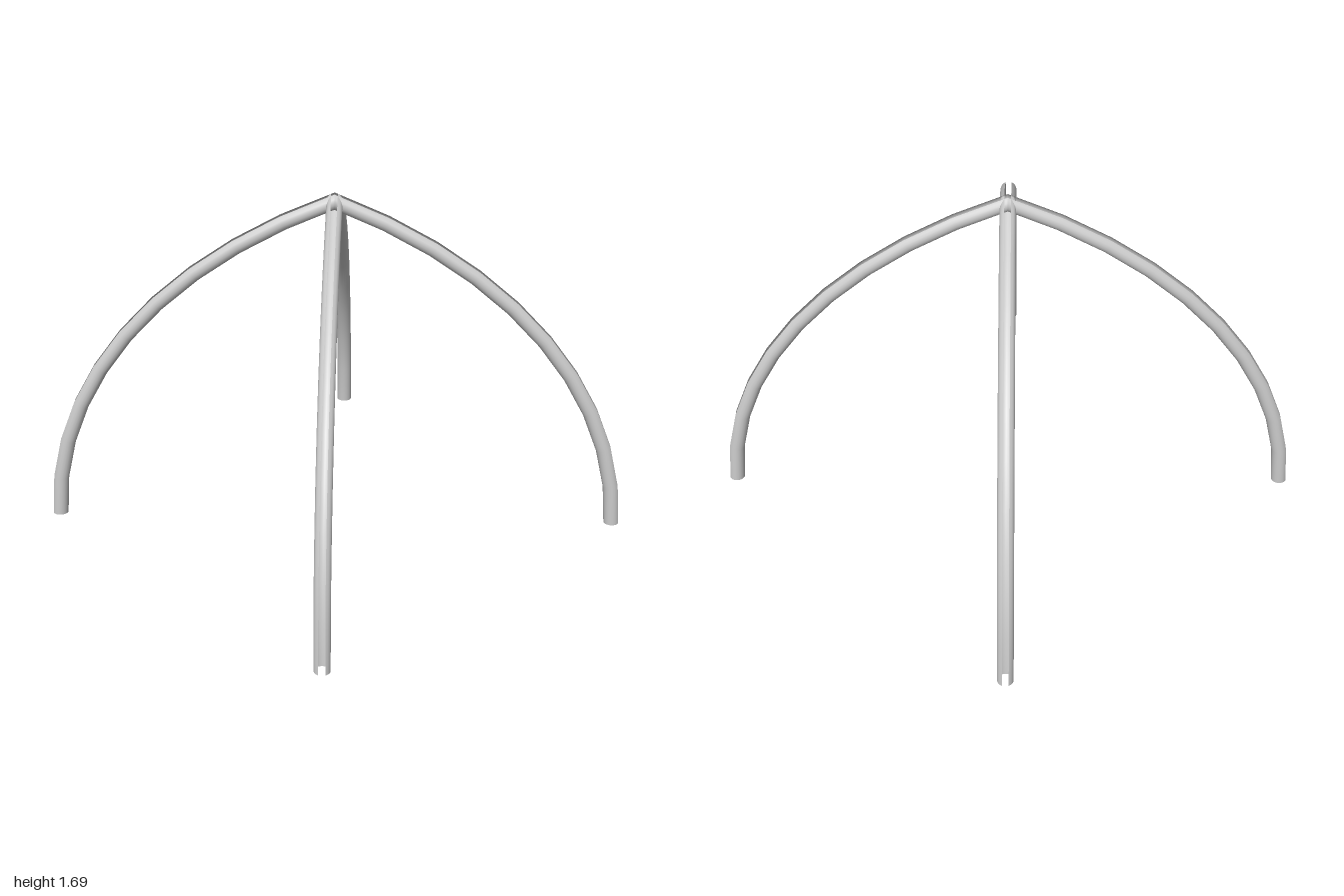
import * as THREE from 'three';

const RADIUS = 0.0375;        // tube radius
const SLOT = 0.42;            // half angle of the open slot along the outer side
const FOOT = 0.9625;          // x (and z) of each foot centre
const APEX = 1.65;            // height where the ribs meet
const OFFSET = 0.85;          // arc centre lies this far beyond the middle

// Centre line and outward normal in the rib's own vertical plane, t = 0 foot .. 1 apex
function ribFrame(t) {
  const R = FOOT + OFFSET;
  const end = Math.acos(OFFSET / R);
  const rise = APEX / Math.sin(end);
  const a = end * t;
  const s = Math.SQRT2 * (R * Math.cos(a) - OFFSET);
  const normal = new THREE.Vector2(rise * Math.cos(a), Math.SQRT2 * R * Math.sin(a)).normalize();
  // mitre the last ring on the vertical plane through the middle
  if (t > 0.999) normal.set(0, 1 / normal.y);
  return { s, y: rise * Math.sin(a), normal };
}

// Slotted, open-ended tube swept along the arc
function ribGeometry() {
  const geometry = new THREE.PlaneGeometry(1, 1, 16, 10);
  const pos = geometry.attributes.position;
  for (let i = 0; i < pos.count; i++) {
    const { s, y, normal } = ribFrame(pos.getY(i) + 0.5);
    const a = SLOT + (pos.getX(i) + 0.5) * 2 * (Math.PI - SLOT);
    const out = RADIUS * Math.cos(a);
    pos.setXYZ(i, s + normal.x * out, y + normal.y * out, -RADIUS * Math.sin(a));
  }
  geometry.computeVertexNormals();
  return geometry;
}

export function createModel() {
  const model = new THREE.Group();
  model.name = 'archFrame';
  const material = new THREE.MeshStandardMaterial({ color: 0xcccccc, side: THREE.DoubleSide });
  const geometry = ribGeometry();

  // Four ribs on the diagonals
  ['backLeftRib', 'backRightRib', 'frontRightRib', 'frontLeftRib'].forEach((name, i) => {
    const rib = new THREE.Mesh(geometry, material);
    rib.name = name;
    rib.rotation.y = Math.PI / 4 + i * Math.PI / 2;
    model.add(rib);
  });
  return model;
}
